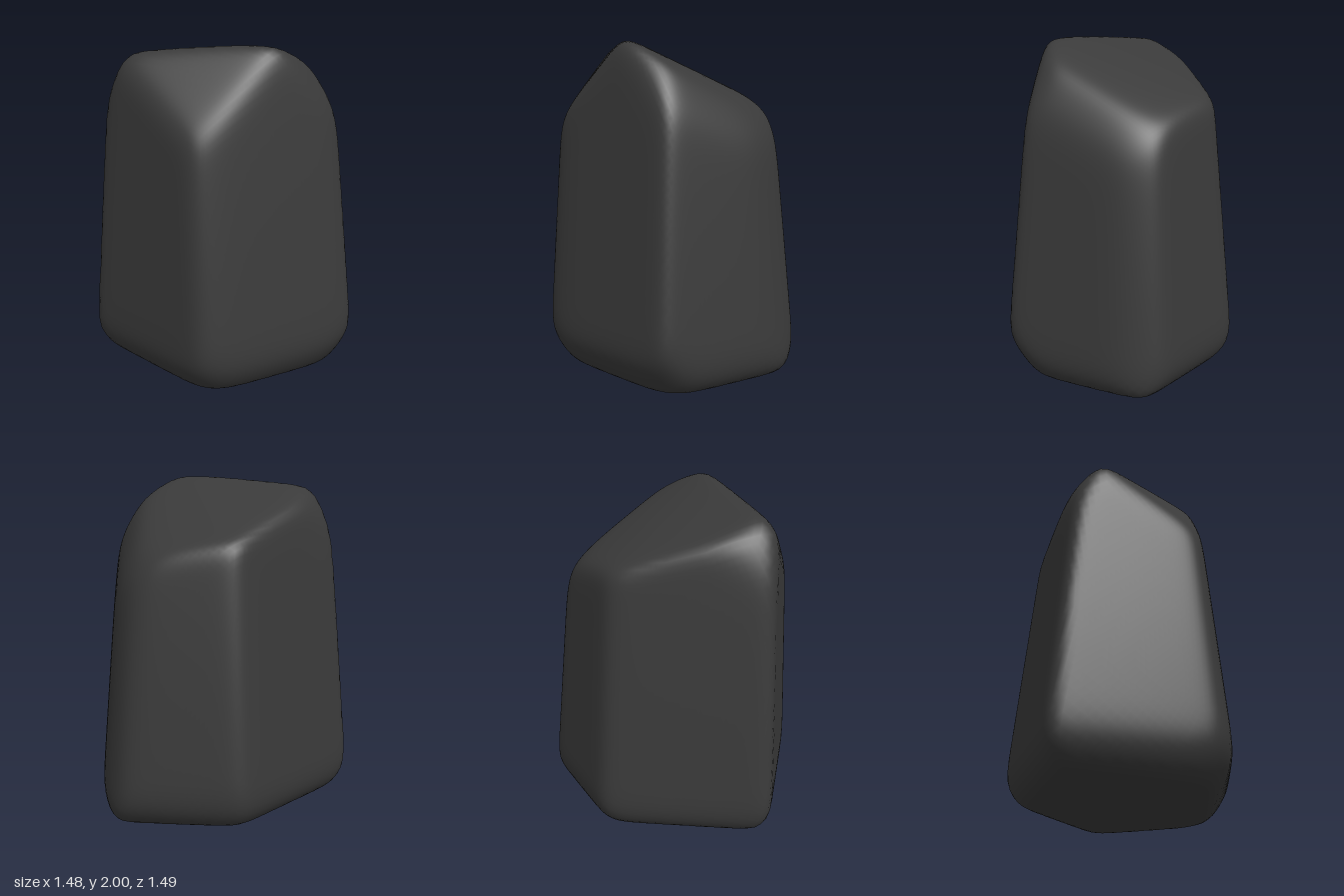
import * as THREE from 'three';
import { mergeVertices } from 'three/addons/utils/BufferGeometryUtils.js';

const V = (x, y, z) => new THREE.Vector3(x, y, z);
const CENTRE = V(0, 1, 0);

// Corners of the five-sided stone, low (y = 0.3) and high (y = 1.5)
const LOW = [[-0.765, 0.51], [0.2, 0.768], [0.767, -0.04], [0.2, -0.82], [-0.56, -0.48]]
  .map(([x, z]) => V(x, 0.3, z));
const HIGH = [[-0.65, 0.45], [0.08, 0.73], [0.645, -0.05], [0.17, -0.68], [-0.45, -0.42]]
  .map(([x, z]) => V(x, 1.5, z));
// Height where each side's foot chamfer begins
const FOOT = [0.16, 0.17, 0.1, 0.14, 0.14];

function cutPlanes() {
  const planes = [];
  // Plane through a point, with its normal facing away from the centre
  const cut = (normal, point) => {
    const n = normal.clone().normalize();
    if (n.dot(point.clone().sub(CENTRE)) < 0) n.negate();
    planes.push({ n, d: n.dot(point.clone().sub(CENTRE)) });
    return n;
  };
  // Leaning sides, each with a chamfer along its foot
  for (let i = 0; i < 5; i++) {
    const j = (i + 1) % 5;
    const across = HIGH[j].clone().sub(LOW[i]);
    const back = HIGH[i].clone().sub(LOW[j]);
    const mid = LOW[i].clone().add(LOW[j]).add(HIGH[i]).add(HIGH[j]).multiplyScalar(0.25);
    const n = cut(across.cross(back), mid);
    const foot = LOW[i].clone().add(LOW[j]).multiplyScalar(0.5).setY(FOOT[i]);
    cut(n.clone().multiplyScalar(0.8).add(V(0, -0.6, 0)), foot);
  }
  // Blunted upright edges at the front and back, and blunted foot corners
  cut(V(0.53, 0.075, 0.85), V(0.2, 0.3, 0.73));
  cut(V(0.42, 0.1, -0.91), V(0.18, 0.3, -0.728));
  cut(V(0.3, -0.55, 0.8), V(0.18, 0.14, 0.7));
  cut(V(0.85, -0.5, 0), V(0.71, 0.17, 0));
  // Top, folded along its diagonal, and underside
  cut(V(-0.196, 1, -0.34), V(0, 1.905, 0));
  cut(V(0, 1, -0.55), V(0, 1.913, 0));
  cut(V(-0.04, -1, 0), V(0, 0.013, 0));
  // Facets around the top
  cut(V(0.095, 0.342, 0.4265), V(0.1, 1.53, 0.68));   // front
  cut(V(0.84, 0.54, 0), V(0.495, 1.84, 0));           // left
  cut(V(1.19, 1, -1.31), V(0.47, 1.78, -0.1));        // back left
  cut(V(0.2, 0.56, -0.83), V(0.18, 1.55, -0.57));     // back
  cut(V(-0.85, 0.5, 0.1), V(-0.53, 1.87, 0.4));       // right
  return planes;
}

function stoneGeometry() {
  const planes = cutPlanes();
  const soft = 0.03;
  // Softened maximum of the plane distances rounds every edge
  const inside = (p) => {
    let sum = 0;
    for (const { n, d } of planes) sum += Math.exp((n.dot(p) - d) / soft);
    return sum < 1;
  };

  let geometry = new THREE.IcosahedronGeometry(1, 28);
  geometry.deleteAttribute('normal');
  geometry.deleteAttribute('uv');
  geometry = mergeVertices(geometry, 1e-5);

  // Push each sphere vertex out to the stone's surface
  const pos = geometry.attributes.position;
  const dir = V(0, 0, 0), p = V(0, 0, 0);
  for (let i = 0; i < pos.count; i++) {
    dir.fromBufferAttribute(pos, i).multiply(V(0.7, 1, 0.7)).normalize();
    let near = 0, far = 2;
    for (let k = 0; k < 26; k++) {
      const r = (near + far) / 2;
      if (inside(p.copy(dir).multiplyScalar(r))) near = r; else far = r;
    }
    p.copy(dir).multiplyScalar(near).add(CENTRE);
    pos.setXYZ(i, p.x, p.y, p.z);
  }
  geometry.computeVertexNormals();
  return geometry;
}

export function createModel() {
  const group = new THREE.Group();
  group.name = 'standingStone';
  const stone = new THREE.Mesh(
    stoneGeometry(),
    new THREE.MeshStandardMaterial({ color: 0x3a3a3a })
  );
  stone.name = 'stone';
  group.add(stone);
  return group;
}
